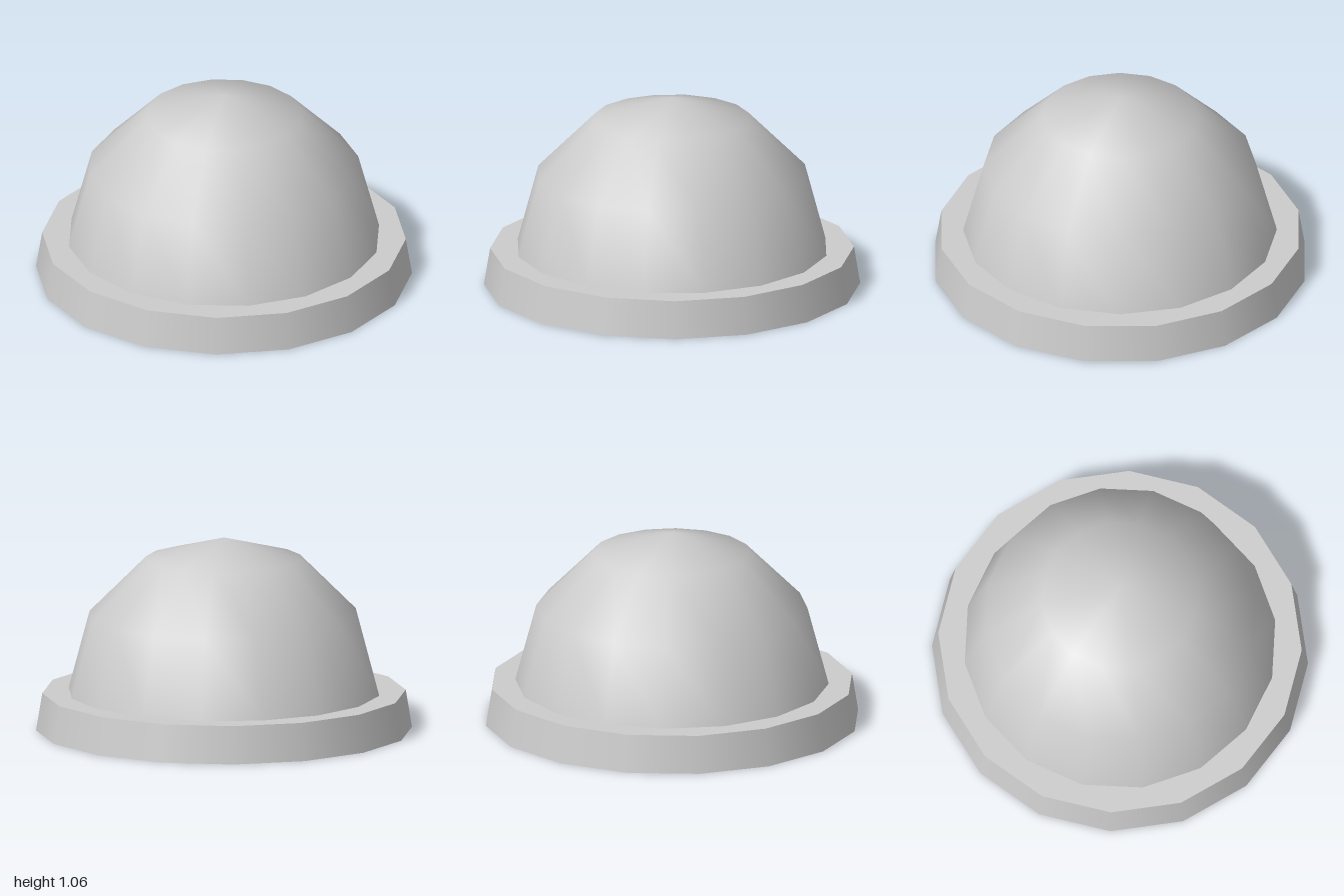
import * as THREE from 'three';
import { mergeVertices } from 'three/addons/utils/BufferGeometryUtils.js';

const SIDES = 16;
const BASE_HEIGHT = 0.205;
const DOME_RADIUS = 0.85;

export function createModel() {
  const model = new THREE.Group();
  model.name = 'domeOnBase';

  const grey = new THREE.MeshStandardMaterial({ color: 0xcccccc, side: THREE.DoubleSide });
  grey.name = 'light grey';

  const add = (name, geometry, y) => {
    const mesh = new THREE.Mesh(geometry, grey);
    mesh.name = name;
    mesh.position.y = y;
    model.add(mesh);
  };

  // Thin tapered rim, open below, turned half a step so that flats face the axes
  const halfStep = Math.PI / SIDES;
  const bottomRadius = 1 / Math.cos(halfStep);
  const topRadius = 0.967 * bottomRadius;
  add('baseRim', new THREE.CylinderGeometry(topRadius, bottomRadius, BASE_HEIGHT, SIDES, 1, true, halfStep), BASE_HEIGHT / 2);

  // Flat plate closing the top of the rim
  add('basePlate', new THREE.CircleGeometry(topRadius, SIDES, halfStep).rotateX(-Math.PI / 2), BASE_HEIGHT);

  // Three-ring hemisphere, welded so that the normals average its facets
  const hemisphere = new THREE.SphereGeometry(DOME_RADIUS, SIDES, 3, 0, Math.PI * 2, 0, Math.PI / 2);
  hemisphere.deleteAttribute('uv');
  hemisphere.deleteAttribute('normal');
  const dome = mergeVertices(hemisphere);
  dome.computeVertexNormals();
  add('dome', dome, BASE_HEIGHT);

  return model;
}
